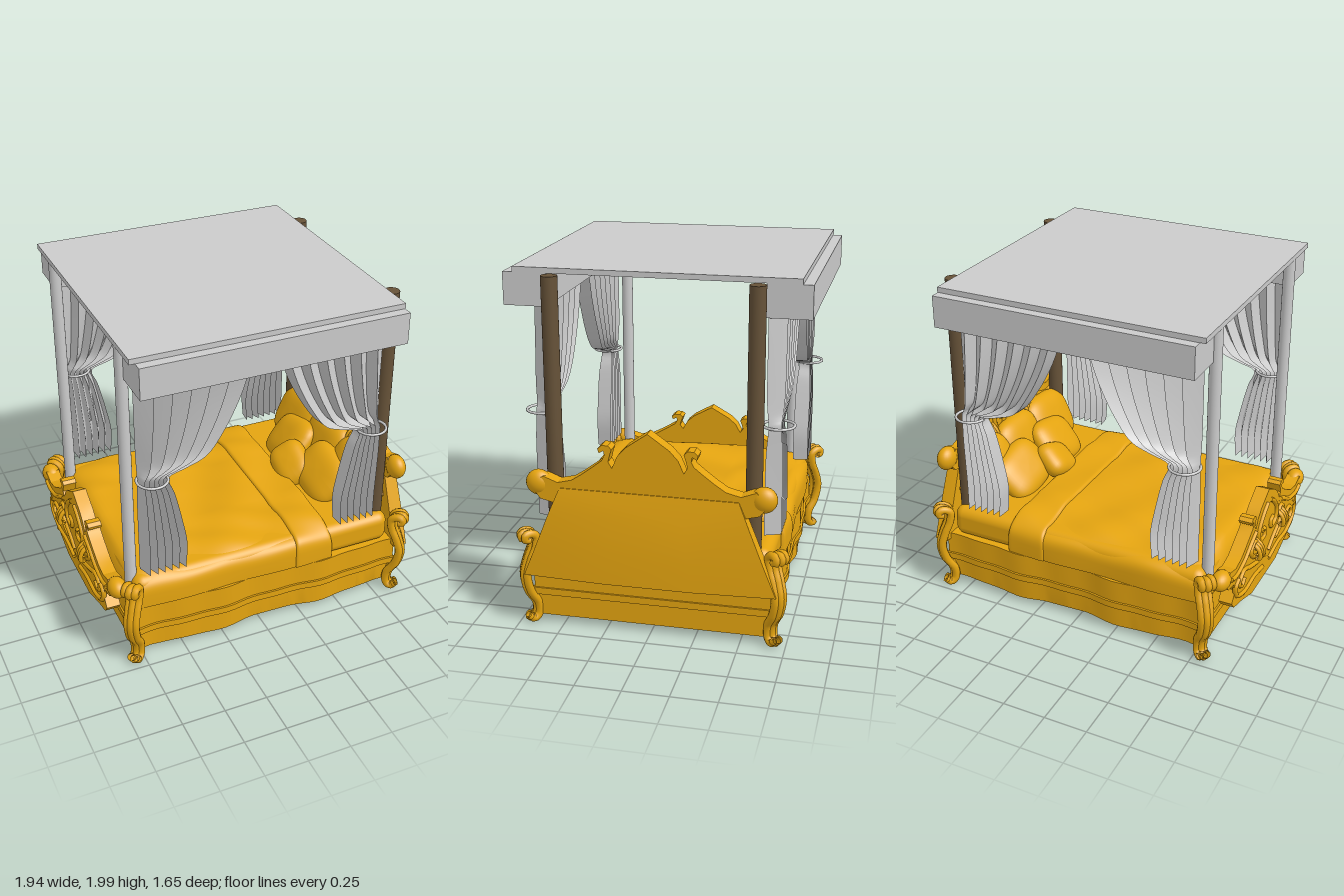
import * as THREE from 'three';
import { toCreasedNormals } from 'three/addons/utils/BufferGeometryUtils.js';
import { RoundedBoxGeometry } from 'three/addons/geometries/RoundedBoxGeometry.js';
import { ConvexGeometry } from 'three/addons/geometries/ConvexGeometry.js';
import { ParametricGeometry } from 'three/addons/geometries/ParametricGeometry.js';

const { DoubleSide } = THREE;
const gold = new THREE.MeshStandardMaterial({ color: 0xe4a410, side: DoubleSide });
const brown = new THREE.MeshStandardMaterial({ color: 0x665238 });
const grey = new THREE.MeshStandardMaterial({ color: 0xcccccc });
const cloth = new THREE.MeshStandardMaterial({ color: 0xcccccc, side: DoubleSide });

function add(parent, name, geometry, material, x = 0, y = 0, z = 0) {
  const mesh = new THREE.Mesh(geometry, material);
  mesh.name = name;
  mesh.position.set(x, y, z);
  parent.add(mesh);
  return mesh;
}

const tube = (points, radius, segments = 40) =>
  new THREE.TubeGeometry(new THREE.CatmullRomCurve3(points), segments, radius, 8);

// Serpentine plan of the bed base
function basePlan(w, xa, xb) {
  const n = 36, pts = [];
  for (const s of [1, -1]) {
    for (let i = 0; i <= n; i++) {
      const x = xa + (xb - xa) * (s > 0 ? i / n : 1 - i / n);
      pts.push(new THREE.Vector2(x, s * (w + 0.01 * Math.cos((x + 0.3) * 9) + 0.005 * Math.sin(x * 21))));
    }
  }
  return pts;
}

// One tier of the base from y0 to y1; a hollow one is a thin wall with a waved hem
function baseTier(y0, y1, w, xa, xb, hollow = false) {
  const shape = new THREE.Shape(basePlan(w, xa, xb));
  if (hollow) shape.holes.push(new THREE.Path(basePlan(w - 0.02, xa + 0.02, xb - 0.02)));
  const g = new THREE.ExtrudeGeometry(shape, { depth: y1 - y0, bevelEnabled: false });
  g.rotateX(Math.PI / 2).translate(0, y1, 0);
  const p = g.attributes.position;
  for (let i = 0; hollow && i < p.count; i++) {
    if (p.getY(i) < y0 + 0.001) p.setY(i, y0 - 0.007 * Math.cos((p.getX(i) + 0.3) * 9));
  }
  return toCreasedNormals(g, 0.6);
}

// Blanket draped over the mattress, with wrinkles
function blanket(x0, x1, w, h) {
  return new ParametricGeometry((u, v, out) => {
    const a = v * Math.PI, c = Math.cos(a), s = Math.sin(a);
    const x = x0 + (x1 - x0) * u;
    const end = Math.pow(Math.max(0, 1 - Math.pow(Math.abs(2 * u - 1), 16)), 0.3);
    const z = w * (0.95 + 0.05 * end) * Math.sign(c) * Math.pow(Math.abs(c), 0.4);
    const fold = 0.008 * Math.sin(13 * x + 7 * z) + 0.006 * Math.sin(23 * z - 11 * x);
    const y = 0.36 + end * Math.pow(Math.max(s, 0), 0.35) * (h + fold);
    out.set(x, y, z + 0.006 * Math.sin(10 * x) * c);
  }, 48, 48);
}

// Plump cushion: a sphere squared off in outline
function cushion(size, thick) {
  const g = new THREE.SphereGeometry(1, 32, 20).rotateX(Math.PI / 2);
  const p = g.attributes.position;
  const sq = t => Math.sign(t) * Math.pow(Math.abs(t), 0.6);
  for (let i = 0; i < p.count; i++) {
    p.setXYZ(i, sq(p.getX(i)) * size, sq(p.getY(i)) * size * 0.8, p.getZ(i) * thick);
  }
  g.computeVertexNormals();
  return g.rotateY(Math.PI / 2);
}

// Gathered curtain: lopsided pleats between a straight outer edge and a swept inner edge
function curtain() {
  const edge = new THREE.CatmullRomCurve3([[0.08, 1.8], [0.15, 1.6], [0.25, 1.41], [0.35, 1.28],
    [0.46, 1.235], [0.57, 1.195], [0.54, 1.1], [0.495, 0.9], [0.47, 0.75], [0.48, 0.585]]
    .map(([x, y]) => new THREE.Vector3(x, y, 0)));
  const e = new THREE.Vector3();
  const g = new ParametricGeometry((u, v, out) => {
    edge.getPoint(v, e);
    const phase = (u * 6) % 1;
    const amp = 0.045 - 0.012 * Math.exp(-Math.pow((e.y - 1.2) * 9, 2));
    // the cloth hangs lower toward the tie on its outer side
    const y = e.y - 0.025 * (1 - u) * Math.sin(Math.PI * Math.min(1, Math.max(0, (e.y - 1.2) / 0.6)));
    const pleat = phase < 0.79 ? phase / 0.8 : (1 - phase) / 0.2;
    out.set(0.73 + (e.x - 0.73) * u, y, amp * (2 * pleat - 1));
  }, 30, 36);
  return toCreasedNormals(g, 0.7);
}

// Carved crest with a central peak, hooked scrolls and round ends; the peak is at y = 0
function carvedCrest(name) {
  const crest = new THREE.Group();
  crest.name = name;
  const half = [[0, 0], [0.06, -0.042], [0.12, -0.085], [0.165, -0.135], [0.195, -0.205], [0.215, -0.17],
    [0.205, -0.13], [0.195, -0.1], [0.215, -0.08], [0.25, -0.08], [0.272, -0.1], [0.265, -0.125],
    [0.24, -0.11], [0.235, -0.135], [0.25, -0.165], [0.3, -0.205], [0.36, -0.25], [0.42, -0.29],
    [0.5, -0.31], [0.58, -0.28], [0.66, -0.33], [0.6, -0.41], [0.52, -0.43], [0.49, -0.5], [0.54, -0.58],
    [0.5, -0.64], [0.38, -0.68], [0.2, -0.76]];
  const outline = [...half, ...half.slice(1).reverse().map(([z, y]) => [-z, y])];
  const shape = new THREE.Shape(outline.map(([z, y]) => new THREE.Vector2(z, y)));
  const board = new THREE.ExtrudeGeometry(shape, { depth: 0.08, bevelEnabled: false });
  add(crest, 'crestBoard', toCreasedNormals(board.rotateY(-Math.PI / 2), 0.5), gold);

  const scrolls = [
    [[0.02, -0.1], [0.09, -0.16], [0.15, -0.26], [0.13, -0.35], [0.06, -0.36], [0.05, -0.3], [0.09, -0.29]],
    [[0.2, -0.22], [0.28, -0.27], [0.38, -0.34], [0.5, -0.37], [0.57, -0.35]],
    [[0.03, -0.55], [0.12, -0.48], [0.22, -0.42], [0.27, -0.34], [0.22, -0.29], [0.18, -0.34], [0.21, -0.37]],
    [[0.15, -0.52], [0.27, -0.47], [0.38, -0.42], [0.44, -0.48], [0.4, -0.53], [0.36, -0.49]],
    [[0.05, -0.64], [0.2, -0.61], [0.35, -0.62], [0.47, -0.56], [0.49, -0.46], [0.45, -0.43]],
  ];
  for (const s of [1, -1]) {
    add(crest, 'roundEnd', new THREE.SphereGeometry(0.072, 24, 16).scale(0.75, 1, 1), gold, -0.04, -0.33, s * 0.617);
    for (const path of scrolls) {
      add(crest, 'carvedScroll', tube(path.map(([z, y]) => new THREE.Vector3(-0.08, y, s * z)), 0.017), gold);
    }
    // leaf curling away from the board
    const leaf = [[-0.07, -0.3], [-0.11, -0.34], [-0.125, -0.4], [-0.115, -0.43], [-0.1, -0.41]];
    for (const dz of [-0.025, 0, 0.025]) {
      add(crest, 'carvedLeaf', tube(leaf.map(([x, y]) => new THREE.Vector3(x, y, s * (0.2 + dz))), 0.014, 16), gold);
    }
  }
  return crest;
}

// Scrolled leg of three ribs, curving out along local +x
function scrolledLeg() {
  const leg = new THREE.Group();
  leg.name = 'scrolledLeg';
  const path = [[0.03, 0.515], [0.052, 0.515], [0.055, 0.54], [0.025, 0.548], [-0.01, 0.525], [-0.005, 0.46], [0.025, 0.39],
    [0.05, 0.3], [0.03, 0.2], [-0.015, 0.12], [-0.015, 0.05], [0.015, 0.027], [0.035, 0.045]];
  for (const k of [-1, 0, 1]) {
    const pts = path.map(([d, y]) => new THREE.Vector3(d + (k ? -0.008 : 0), y, k * (0.018 + 0.022 * y)));
    add(leg, 'legRib', tube(pts, 0.024, 60), gold);
  }
  return leg;
}

export function createModel() {
  const bed = new THREE.Group();
  bed.name = 'canopyBed';

  // Base
  add(bed, 'skirt', baseTier(0.047, 0.18, 0.655, -0.79, 0.87, true), gold);
  add(bed, 'bedFloor', baseTier(0.115, 0.18, 0.64, -0.775, 0.855), gold);
  add(bed, 'ledge', baseTier(0.18, 0.22, 0.682, -0.81, 0.89), gold);
  add(bed, 'sideRail', baseTier(0.22, 0.355, 0.67, -0.8, 0.88), gold);
  add(bed, 'undersidePlate', new THREE.BoxGeometry(0.33, 0.03, 0.24), grey, -0.4, 0.118, 0);

  // Bedding
  add(bed, 'mattress', new RoundedBoxGeometry(1.62, 0.19, 1.31, 5, 0.06), gold, 0.03, 0.445, 0);
  add(bed, 'blanket', blanket(-0.8, 0.44, 0.676, 0.205), gold);
  add(bed, 'blanketFold', blanket(0.2, 0.45, 0.686, 0.22), gold);
  const cushions = [[0.74, 0.69, 0.36, 0.22, -0.5, 0.1], [0.74, 0.69, -0.36, 0.22, -0.5, -0.1], [0.75, 0.71, 0, 0.2, -0.45, 0],
    [0.61, 0.63, 0.21, 0.2, -0.75, 0.2], [0.61, 0.63, -0.21, 0.2, -0.75, -0.2], [0.5, 0.61, 0.02, 0.15, -0.9, 0.4]];
  for (const [x, y, z, size, lean, twist] of cushions) {
    add(bed, 'cushion', cushion(size, 0.075), gold, x, y, z).rotation.set(twist, 0, lean);
  }

  // Headboard: slightly bowed, tapering back panel with a carved crest
  const panel = [];
  for (const [y, w, x, bow] of [[0.32, 0.7, 0.97, 0.025], [0.48, 0.635, 0.968, 0.022], [0.7, 0.548, 0.95, 0.012], [0.84, 0.49, 0.92, 0]]) {
    for (const s of [1, -1]) {
      panel.push(new THREE.Vector3(x, y, s * w * 0.35), new THREE.Vector3(x - bow, y, s * w), new THREE.Vector3(0.86, y, s * w));
    }
  }
  add(bed, 'headboardPanel', toCreasedNormals(new ConvexGeometry(panel), 0.35), gold);
  const head = carvedCrest('headboardCrest');
  head.position.set(0.915, 1.18, 0);
  const foot = carvedCrest('footboard');
  foot.position.set(-0.835, 0.775, 0);
  foot.scale.y = 0.79;
  bed.add(head, foot);

  // Legs, posts, curtains and valances, mirrored across the bed
  const drape = curtain();
  for (const sz of [1, -1]) {
    for (const sx of [1, -1]) {
      const leg = scrolledLeg();
      leg.position.set(sx > 0 ? 0.867 : -0.802, 0, sz * 0.68);
      leg.rotation.y = Math.atan2(-sz, sx);
      bed.add(leg);

      add(bed, 'curtain', drape, cloth, 0, 0, sz * 0.642).scale.set(sx, 1, sz);
      add(bed, 'curtainTie', new THREE.TorusGeometry(0.085, 0.008, 8, 32).rotateX(Math.PI / 2), cloth, sx * 0.66, 1.195, sz * 0.655);
    }
    add(bed, 'headPost', new THREE.CylinderGeometry(0.045, 0.045, 1.47, 24), brown, 0.79, 1.235, sz * 0.55);
    add(bed, 'footPost', new THREE.CylinderGeometry(0.034, 0.034, 1.5, 24), grey, -0.77, 1.22, sz * 0.55);
    add(bed, 'valance', new THREE.BoxGeometry(1.51, 0.18, 0.24), grey, -0.015, 1.88, sz * 0.705);
  }

  // Canopy roof
  add(bed, 'canopyRoof', new THREE.BoxGeometry(1.545, 0.03, 1.54), grey, -0.03, 1.985, 0);
  return bed;
}
